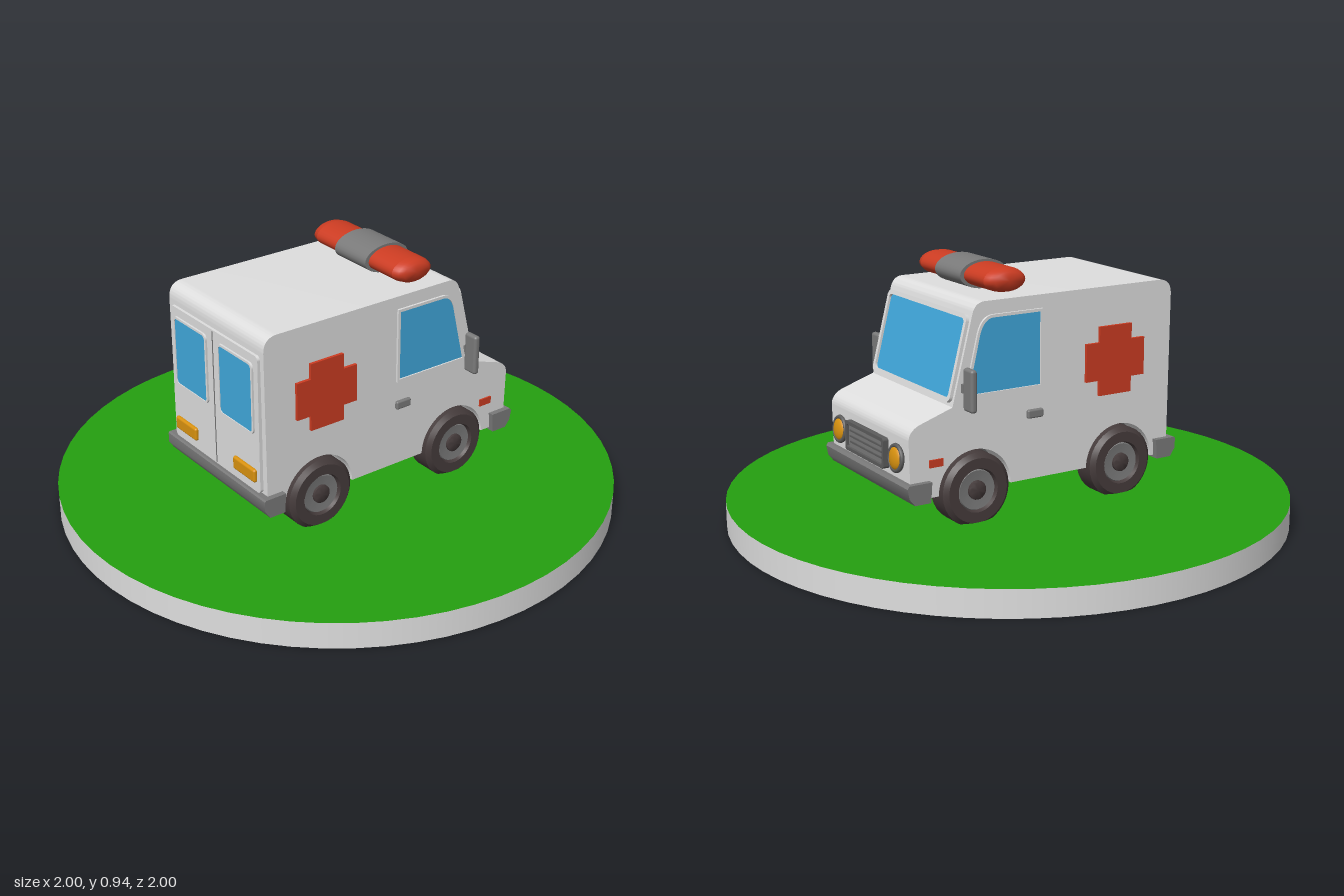
import * as THREE from 'three';
import { toCreasedNormals } from 'three/addons/utils/BufferGeometryUtils.js';
import { RoundedBoxGeometry } from 'three/addons/geometries/RoundedBoxGeometry.js';

const mat = (name, color, side = THREE.FrontSide) => {
  const m = new THREE.MeshStandardMaterial({ color, side });
  m.name = name;
  return m;
};

export function createModel() {
  const white = mat('white paint', 0xdedede);
  const green = mat('grass green', 0x249f10);
  const blue = mat('window blue', 0x40a8dc);
  const red = mat('red', 0xcc3c22);
  const grey = mat('grey plastic', 0x7a7a7a);
  const darkGrey = mat('dark grey', 0x5c5c5c);
  const rubber = mat('tyre rubber', 0x463c3c);
  const amber = mat('amber', 0xd9920f);

  const model = new THREE.Group();
  model.name = 'ambulanceOnBase';
  const van = new THREE.Group();
  van.name = 'ambulance';
  van.position.x = 0.01;
  model.add(van);

  const add = (name, geo, material, parent = van) => {
    const m = new THREE.Mesh(geo, material);
    m.name = name;
    parent.add(m);
    return m;
  };
  const poly = (pts) => new THREE.Shape(pts.map((p) => new THREE.Vector2(...p)));
  // Side profile (u = -z, y) extruded from x0 to x1
  const across = (shape, x0, x1) => {
    const g = new THREE.ExtrudeGeometry(shape, { depth: x1 - x0, bevelEnabled: false, curveSegments: 16 });
    g.translate(0, 0, x0);
    g.rotateY(Math.PI / 2);
    return toCreasedNormals(g, 0.6);
  };
  // Thin plate on either flank, lying between distances d0 and d1 from the middle
  const flank = (shape, s, d0, d1) => (s > 0 ? across(shape, d0, d1) : across(shape, -d1, -d0));
  const box = (w, h, d, x, y, z) => new THREE.BoxGeometry(w, h, d).translate(x, y, z);
  const rbox = (w, h, d, r, x, y, z) => new RoundedBoxGeometry(w, h, d, 3, r).translate(x, y, z);
  const rect = (w, h, r, cx = 0, cy = 0, Type = THREE.Shape) => {
    const s = new Type();
    const x = w / 2, y = h / 2;
    s.absarc(cx + x - r, cy + y - r, r, 0, Math.PI / 2);
    s.absarc(cx - x + r, cy + y - r, r, Math.PI / 2, Math.PI);
    s.absarc(cx - x + r, cy - y + r, r, Math.PI, Math.PI * 1.5);
    s.absarc(cx + x - r, cy - y + r, r, Math.PI * 1.5, Math.PI * 2);
    return s;
  };
  const plate = (shape, depth, z = 0) =>
    new THREE.ExtrudeGeometry(shape, { depth, bevelEnabled: false, curveSegments: 5 }).translate(0, 0, z);
  const frame = (w, h, r, t) => {
    const s = rect(w, h, r);
    s.holes.push(rect(w - 2 * t, h - 2 * t, r * 0.7, 0, 0, THREE.Path));
    return s;
  };

  // Round base with green faces and a pale rim
  add('base', new THREE.CylinderGeometry(1, 1, 0.095, 64).translate(0, 0.0475, 0), [white, green, green], model);

  // Body with wheel arches
  const body = new THREE.Shape();
  body.moveTo(-0.5, 0.205);
  body.lineTo(-0.43, 0.205);
  body.absarc(-0.29, 0.205, 0.14, Math.PI, 0, true);
  body.lineTo(0.16, 0.205);
  body.absarc(0.3, 0.205, 0.14, Math.PI, 0, true);
  body.lineTo(0.545, 0.205);
  body.lineTo(0.55, 0.41);
  body.quadraticCurveTo(0.548, 0.447, 0.5, 0.462);
  body.lineTo(0.385, 0.5);
  body.lineTo(0.308, 0.8);
  body.quadraticCurveTo(0.298, 0.84, 0.26, 0.84);
  body.lineTo(-0.45, 0.84);
  body.quadraticCurveTo(-0.505, 0.84, -0.505, 0.785);
  add('body', across(body, -0.28, 0.28), white);
  add('underbody', box(0.36, 0.14, 0.98, 0, 0.275, -0.02), darkGrey);

  // Rear door panel, windows and lamps
  add('rearDoors', plate(rect(0.52, 0.5, 0.015), 0.012, 0.503).translate(0, 0.52, 0), white);
  add('rearDoorSeam', box(0.004, 0.49, 0.003, 0, 0.52, 0.515), grey);
  for (const s of [-1, 1]) {
    add('rearWindow', plate(rect(0.188, 0.245, 0.015), 0.005, 0.514).translate(s * 0.135, 0.61, 0), blue);
    add('rearWindowFrame', plate(frame(0.202, 0.259, 0.02, 0.008), 0.008, 0.514).translate(s * 0.135, 0.61, 0), white);
    add('rearLamp', rbox(0.128, 0.048, 0.018, 0.008, s * 0.178, 0.33, 0.518), amber);
  }

  // Windscreen on the sloping front
  const screen = new THREE.Group();
  screen.name = 'windscreen';
  screen.position.set(0, 0.653, -0.346);
  screen.rotation.set(-0.252, Math.PI, 0, 'YXZ');
  van.add(screen);
  add('windscreenGlass', plate(rect(0.51, 0.265, 0.015), 0.004), blue, screen);
  add('windscreenFrame', plate(frame(0.54, 0.295, 0.022, 0.014), 0.012), white, screen);

  // Grille and headlamps
  add('grille', box(0.26, 0.085, 0.016, 0, 0.335, -0.553), grey);
  add('grilleSurround', plate(frame(0.28, 0.105, 0.01, 0.012), 0.022).rotateY(Math.PI).translate(0, 0.335, -0.548), darkGrey);
  for (const y of [0.315, 0.335, 0.355]) add('grilleSlat', box(0.23, 0.006, 0.006, 0, y, -0.562), darkGrey);
  for (const s of [-1, 1]) {
    const lamp = new THREE.Group();
    lamp.name = 'headlamp';
    lamp.position.set(s * 0.205, 0.337, -0.557);
    lamp.rotation.x = 0.1;
    van.add(lamp);
    add('headlampRim', new THREE.TorusGeometry(0.042, 0.008, 8, 28), darkGrey, lamp);
    add('headlampLens', new THREE.SphereGeometry(0.04, 24, 12).scale(1, 1, 0.4), amber, lamp);
  }

  // Bumpers
  const rearBumper = [[-0.525, 0.26], [-0.525, 0.225], [-0.505, 0.195], [-0.445, 0.195], [-0.44, 0.265], [-0.52, 0.265]];
  const frontBumper = [[0.56, 0.265], [0.475, 0.265], [0.48, 0.195], [0.54, 0.195], [0.56, 0.22], [0.567, 0.255]];
  add('rearBumper', across(poly(rearBumper), -0.3, 0.3), grey);
  add('frontBumper', across(poly(frontBumper), -0.3, 0.3), grey);

  // Side windows, crosses, handles, markers and mirrors
  const sideWindow = (o) => {
    const p = new THREE.Shape();
    p.moveTo(0.04 - o, 0.528 - o);
    p.lineTo(0.338 + o * 1.3, 0.528 - o);
    p.lineTo(0.288 + o, 0.735);
    p.quadraticCurveTo(0.272 + o, 0.79 + o, 0.23, 0.79 + o);
    p.lineTo(0.04 - o, 0.79 + o);
    p.closePath();
    return p;
  };
  const windowFrame = sideWindow(0.004);
  windowFrame.holes.push(sideWindow(-0.006));
  const cross = new THREE.Shape();
  const a = 0.067, b = 0.122;
  [[-a, -b], [a, -b], [a, -a], [b, -a], [b, a], [a, a], [a, b], [-a, b], [-a, a], [-b, a], [-b, -a], [-a, -a]]
    .forEach(([u, v], i) => (i ? cross.lineTo(u - 0.262, v + 0.581) : cross.moveTo(u - 0.262, v + 0.581)));
  for (const s of [-1, 1]) {
    add('sideWindow', flank(sideWindow(0), s, 0.279, 0.283), blue);
    add('sideWindowFrame', flank(windowFrame, s, 0.279, 0.288), white);
    add('cross', flank(cross, s, 0.279, 0.291), red);
    add('doorHandle', rbox(0.02, 0.03, 0.062, 0.006, s * 0.282, 0.435, -0.066), grey);
    add('sideMarker', box(0.012, 0.026, 0.052, s * 0.28, 0.322, -0.45), red);
    add('mirrorArm', box(0.05, 0.03, 0.014, s * 0.29, 0.56, -0.345), grey);
    add('mirror', rbox(0.058, 0.145, 0.024, 0.01, s * 0.321, 0.56, -0.342), grey);
  }

  // Wheels
  const lathe = (pts, seg) =>
    toCreasedNormals(new THREE.LatheGeometry(pts.map((p) => new THREE.Vector2(...p)), seg), 0.6);
  const tyre = [[0, -0.055], [0.112, -0.055], [0.128, -0.04], [0.128, 0.04], [0.112, 0.055], [0.076, 0.055], [0.07, 0.038], [0, 0.038]];
  const rim = [[0.072, 0.038], [0.068, 0.046], [0.036, 0.042], [0, 0.042]];
  const hub = [[0.033, 0.04], [0.033, 0.05], [0.026, 0.054], [0, 0.054]];
  for (const s of [-1, 1]) for (const z of [0.29, -0.3]) {
    const wheel = new THREE.Group();
    wheel.name = z > 0 ? 'rearWheel' : 'frontWheel';
    wheel.position.set(s * 0.245, 0.206, z);
    wheel.rotation.z = -s * Math.PI / 2;
    van.add(wheel);
    add('tyre', lathe(tyre, 32), rubber, wheel);
    add('rim', lathe(rim, 32), grey, wheel);
    add('hub', lathe(hub, 20), rubber, wheel);
  }

  // Roof light bar
  const bar = new THREE.Group();
  bar.name = 'lightBar';
  bar.position.set(0, 0.89, -0.145);
  van.add(bar);
  const lens = [[0, -0.25], [0.7, -0.247], [0.9, -0.235], [1, -0.21], [1, 0.21], [0.9, 0.235], [0.7, 0.247], [0, 0.25]];
  add('lightLens', lathe(lens, 32).rotateZ(-Math.PI / 2).scale(1, 0.042, 0.078), red, bar);
  add('lightBand', new THREE.CylinderGeometry(1, 1, 0.17, 32).rotateZ(Math.PI / 2).scale(1, 0.05, 0.093), grey, bar);

  return model;
}
